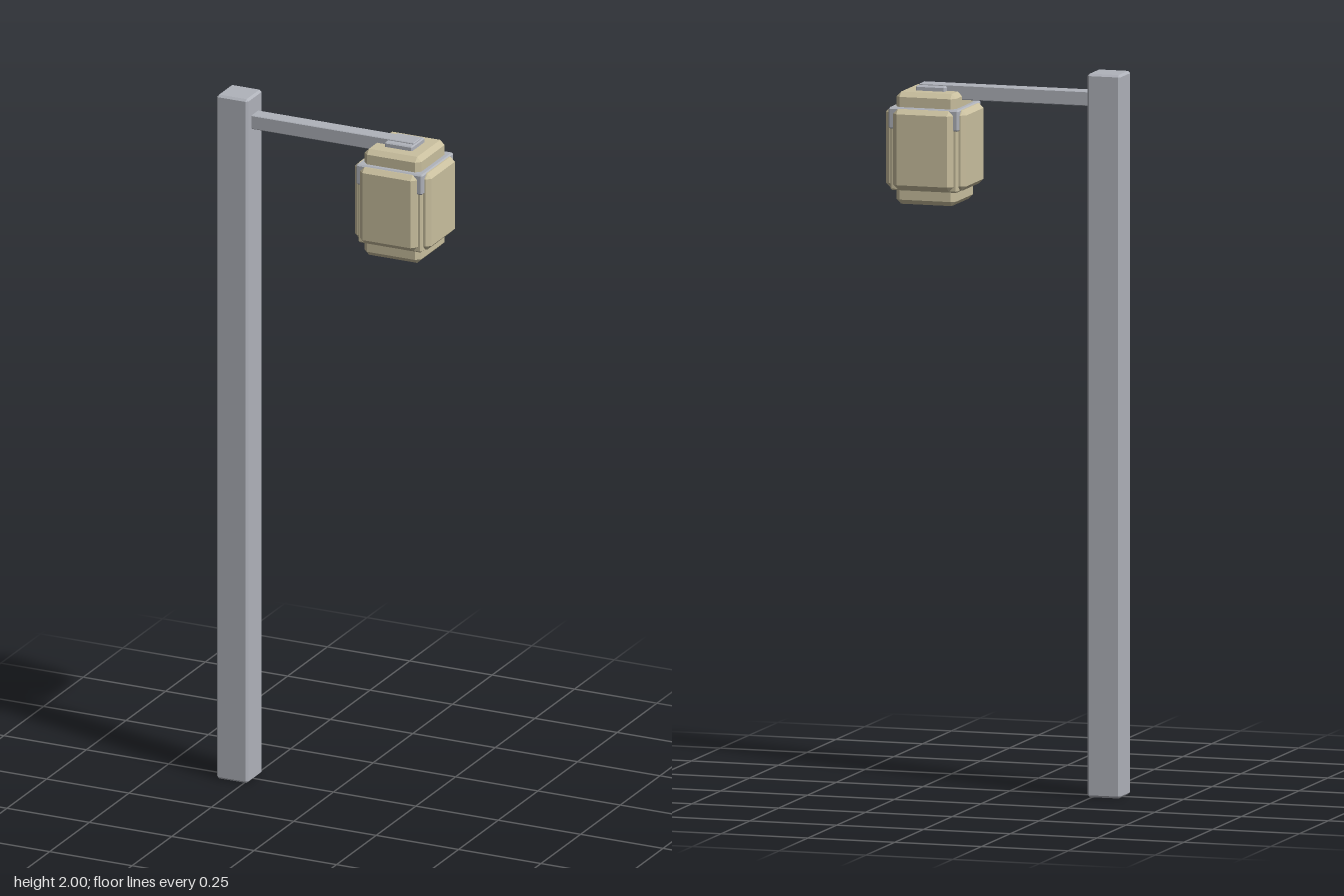
import * as THREE from 'three';
import { ConvexGeometry } from 'three/addons/geometries/ConvexGeometry.js';

// Box between two corners with every edge chamfered by c
function chamferBox([x0, y0, z0], [x1, y1, z1], c) {
  const half = [(x1 - x0) / 2, (y1 - y0) / 2, (z1 - z0) / 2];
  const points = [];
  for (const sx of [-1, 1]) for (const sy of [-1, 1]) for (const sz of [-1, 1]) {
    // each corner becomes three points, one on each adjoining face
    for (let axis = 0; axis < 3; axis++) {
      const p = half.map((h, i) => (i === axis ? h : h - c));
      points.push(new THREE.Vector3(sx * p[0], sy * p[1], sz * p[2]));
    }
  }
  const geometry = new ConvexGeometry(points);
  geometry.translate((x0 + x1) / 2, (y0 + y1) / 2, (z0 + z1) / 2);
  return geometry;
}

export function createModel() {
  const metal = new THREE.MeshStandardMaterial({ color: 0xb0b3bb });
  metal.name = 'grey metal';
  const glass = new THREE.MeshStandardMaterial({ color: 0xcac09f });
  glass.name = 'warm glass';

  const model = new THREE.Group();
  model.name = 'streetLamp';
  const lantern = new THREE.Group();
  lantern.name = 'lantern';
  model.add(lantern);

  function add(parent, name, material, min, max, chamfer) {
    const mesh = new THREE.Mesh(chamferBox(min, max, chamfer), material);
    mesh.name = name;
    parent.add(mesh);
  }

  // Post and arm
  add(model, 'post', metal, [-0.333, 0, -0.047], [-0.238, 2, 0.047], 0.006);
  add(model, 'arm', metal, [-0.242, 1.907, -0.022], [0.254, 1.947, 0.022], 0.002);

  // Plate joining the arm to the lantern
  add(model, 'mountingPlate', metal, [0.174, 1.915, -0.041], [0.258, 1.943, 0.041], 0.003);

  // Lantern body with a metal collar near its top
  add(lantern, 'lanternCore', glass, [0.12, 1.66, -0.096], [0.313, 1.87, 0.096], 0.004);
  add(lantern, 'collar', metal, [0.116, 1.83, -0.1], [0.317, 1.889, 0.1], 0.004);

  // Chamfered panels crossing the body along each axis
  add(lantern, 'sidePanels', glass, [0.1, 1.664, -0.086], [0.333, 1.886, 0.086], 0.013);
  add(lantern, 'frontBackPanels', glass, [0.13, 1.664, -0.115], [0.302, 1.886, 0.115], 0.013);
  add(lantern, 'topBottomPanels', glass, [0.13, 1.62, -0.086], [0.302, 1.93, 0.086], 0.013);

  return model;
}
